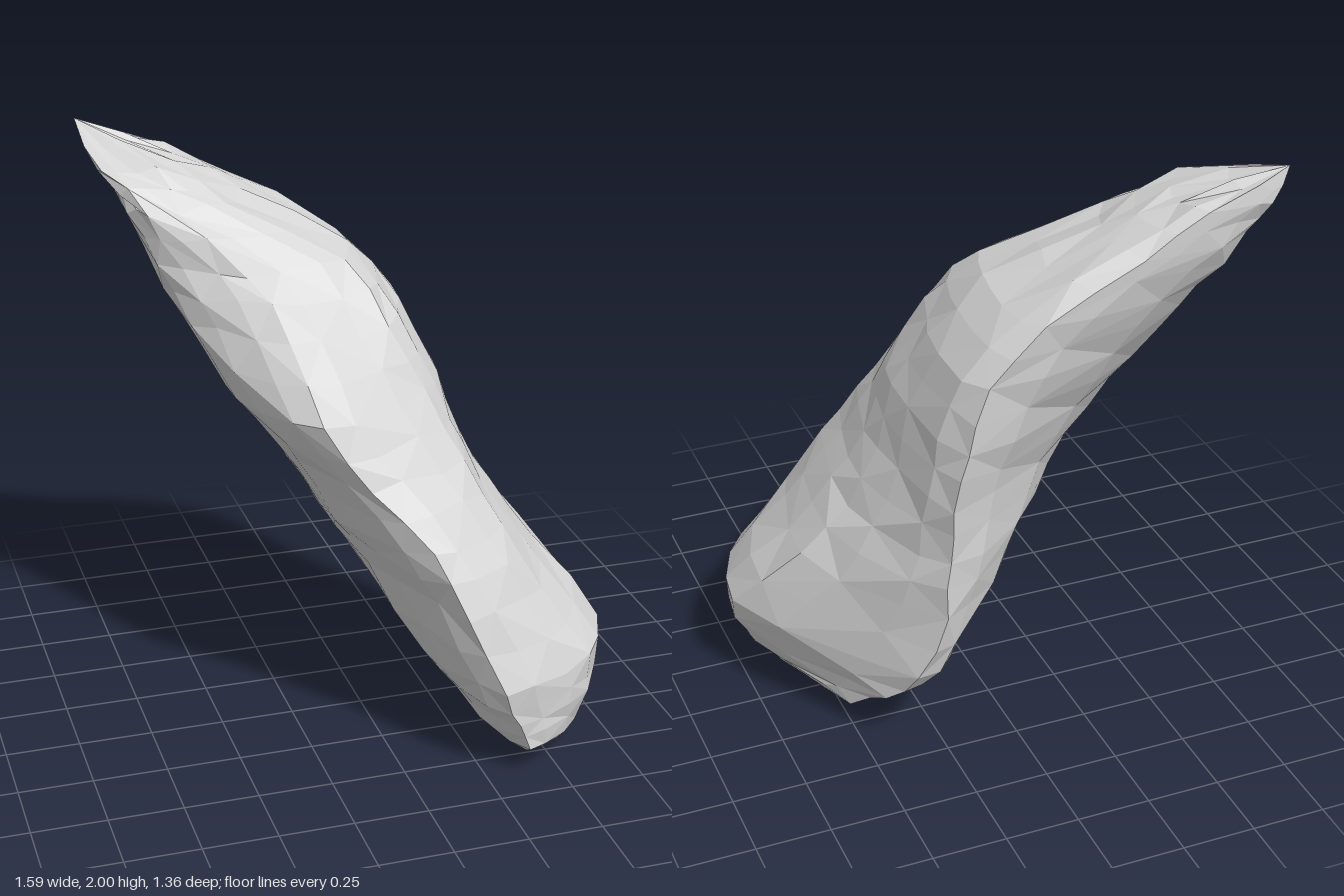
import * as THREE from 'three';

// Heights of the cross-sections, base to top
const HEIGHTS = [0, 0.1, 0.2, 0.34, 0.6, 0.8, 1, 1.2, 1.42, 1.6, 1.78, 1.89];
// Six [x, z] corners each: front, front-right, right, back, back-left, left
const SECTIONS = [
  [[0.46, 0.42], [0.58, 0.38], [0.62, 0.25], [0.57, 0.12], [0.5, 0.12], [0.44, 0.28]],
  [[0.38, 0.64], [0.61, 0.48], [0.7, 0.2], [0.5, -0.26], [0.42, -0.14], [0.31, 0.3]],
  [[0.34, 0.66], [0.64, 0.5], [0.74, 0.15], [0.43, -0.41], [0.31, -0.22], [0.23, 0.33]],
  [[0.28, 0.68], [0.64, 0.51], [0.8, 0.13], [0.36, -0.53], [0.18, -0.34], [0.13, 0.3]],
  [[0.18, 0.61], [0.49, 0.44], [0.6, -0.08], [0.29, -0.59], [0, -0.34], [-0.02, 0.15]],
  [[0.08, 0.54], [0.37, 0.37], [0.46, -0.13], [0.28, -0.61], [-0.13, -0.33], [-0.13, 0.14]],
  [[-0.08, 0.41], [0.27, 0.27], [0.36, -0.16], [0.27, -0.62], [-0.24, -0.31], [-0.25, 0.12]],
  [[-0.23, 0.36], [0.18, 0.16], [0.29, -0.12], [0.24, -0.64], [-0.37, -0.36], [-0.42, 0]],
  [[-0.28, 0.14], [0.07, 0.07], [0.2, -0.22], [0.17, -0.65], [-0.48, -0.47], [-0.54, -0.14]],
  [[-0.36, -0.06], [-0.03, -0.09], [0.05, -0.36], [-0.01, -0.65], [-0.56, -0.57], [-0.62, -0.22]],
  [[-0.61, -0.21], [-0.38, -0.25], [-0.27, -0.48], [-0.33, -0.66], [-0.68, -0.63], [-0.7, -0.28]],
  [[-0.77, -0.37], [-0.6, -0.34], [-0.49, -0.5], [-0.53, -0.67], [-0.75, -0.67], [-0.73, -0.5]],
];
const AROUND = 18;
const UP = 26;

function seeded(seed) {
  return () => {
    seed = (seed * 16807) % 2147483647;
    return seed / 2147483647 - 0.5;
  };
}

function createRockGeometry() {
  const random = seeded(77);
  const base = new THREE.Vector3(0.55, 0, 0.26);
  const tip = new THREE.Vector3(-0.8, 2, -0.66);

  // Rounded outline of each section, kept fairly straight between corners
  const rings = SECTIONS.map((corners, i) => {
    const points = corners.map(([x, z]) => new THREE.Vector3(x, HEIGHTS[i], z));
    const curve = new THREE.CatmullRomCurve3(points, true, 'catmullrom', 0.32);
    return Array.from({ length: AROUND }, (_, k) => curve.getPoint(k / AROUND));
  });

  // Columns running from base to tip, roughened between their ends
  const columns = Array.from({ length: AROUND }, (_, k) => {
    const curve = new THREE.CatmullRomCurve3([base, ...rings.map((r) => r[k]), tip], false, 'centripetal');
    return Array.from({ length: UP + 1 }, (_, j) => {
      if (j === 0) return base;
      if (j === UP) return tip;
      const p = curve.getPoint(j / UP);
      p.x += random() * 0.016;
      p.y = Math.max(0, p.y + random() * 0.03);
      p.z += random() * 0.016;
      return p;
    });
  });

  // Facets, with the diagonal alternating for a chipped look
  const positions = [];
  const face = (...corners) => corners.forEach((p) => positions.push(p.x, p.y, p.z));
  for (let k = 0; k < AROUND; k++) {
    const left = columns[k];
    const right = columns[(k + 1) % AROUND];
    for (let j = 0; j < UP; j++) {
      const [a, b, c, d] = [left[j], right[j], right[j + 1], left[j + 1]];
      if (j === 0) face(a, c, d);
      else if (j === UP - 1) face(a, b, c);
      else if ((j + k) % 2) { face(a, b, c); face(a, c, d); }
      else { face(a, b, d); face(b, c, d); }
    }
  }
  const geometry = new THREE.BufferGeometry();
  geometry.setAttribute('position', new THREE.Float32BufferAttribute(positions, 3));
  geometry.computeVertexNormals();
  return geometry;
}

export function createModel() {
  const group = new THREE.Group();
  group.name = 'leaningRock';
  const stone = new THREE.MeshStandardMaterial({ color: 0xd6d6d6 });
  stone.name = 'stone grey';
  const rock = new THREE.Mesh(createRockGeometry(), stone);
  rock.name = 'rock';
  group.add(rock);
  return group;
}
